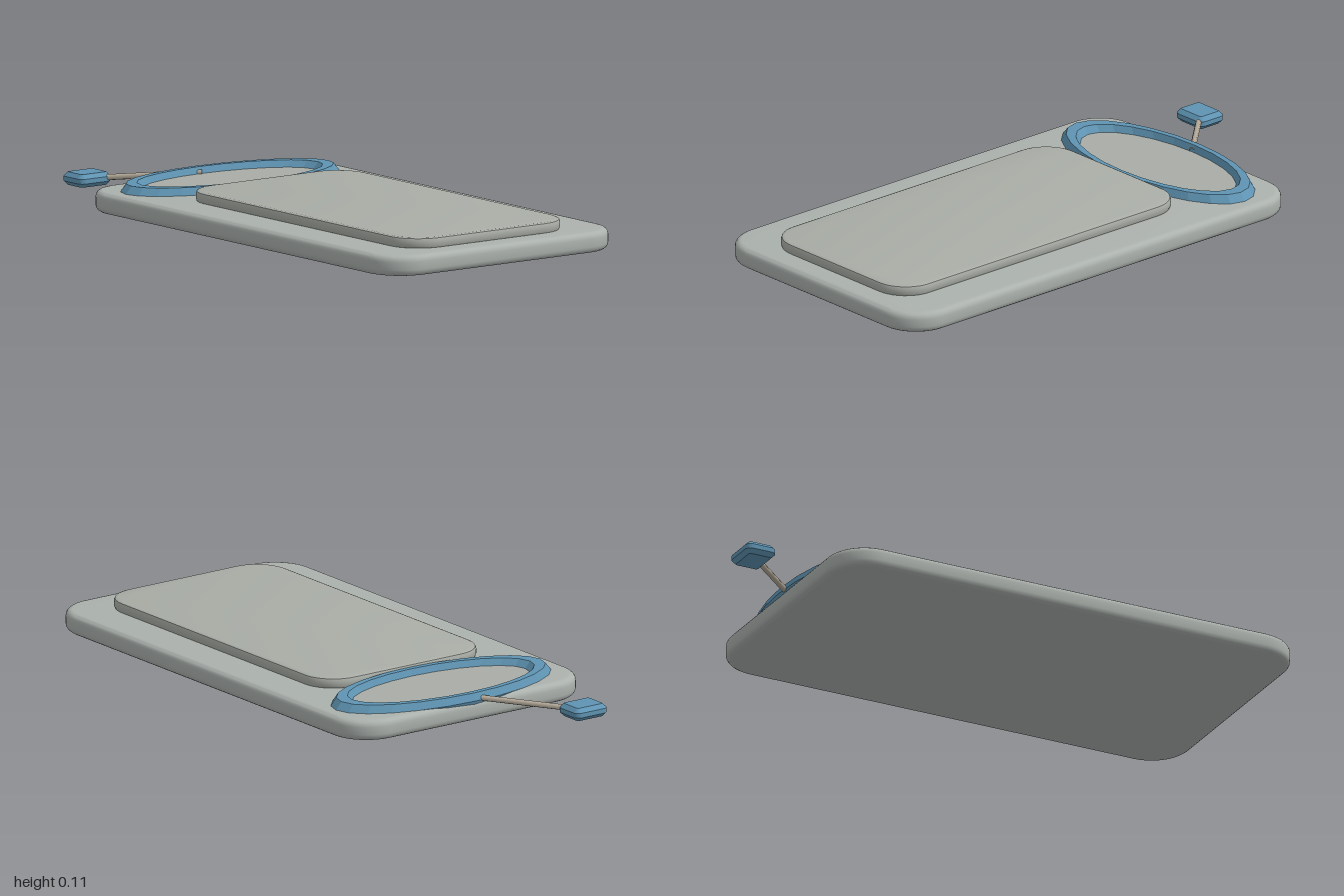
import * as THREE from 'three';
import { toCreasedNormals } from 'three/addons/utils/BufferGeometryUtils.js';

const mat = (name, color, extra = {}) => new THREE.MeshStandardMaterial({ name, color, ...extra });

// Rounded rectangle outline centred on the origin
function roundedRect(w, d, r) {
  const s = new THREE.Shape();
  const x = w / 2 - r, y = d / 2 - r;
  s.absarc(x, y, r, 0, Math.PI / 2);
  s.absarc(-x, y, r, Math.PI / 2, Math.PI);
  s.absarc(-x, -y, r, Math.PI, Math.PI * 1.5);
  s.absarc(x, -y, r, Math.PI * 1.5, Math.PI * 2);
  return s;
}

// Horizontal slab with bevelled rims, its underside at y = 0
function slab(w, d, h, radius, bevel, bevelSegments, crease) {
  const geo = new THREE.ExtrudeGeometry(roundedRect(w - 2 * bevel, d - 2 * bevel, radius - bevel), {
    depth: h - 2 * bevel, bevelEnabled: true, bevelSize: bevel,
    bevelThickness: bevel, bevelSegments, curveSegments: 5,
  });
  geo.translate(0, 0, bevel).rotateX(-Math.PI / 2);
  return toCreasedNormals(geo, crease);
}

export function createModel() {
  const group = new THREE.Group();
  const shell = mat('shell grey', 0xabb1ad);
  const panel = mat('panel grey', 0xa9ada6);
  const blue = mat('trim blue', 0x5f94b3, { flatShading: true });
  const beige = mat('cord beige', 0xb3a999);

  const add = (name, geo, material, x, y, z) => {
    const mesh = new THREE.Mesh(geo, material);
    mesh.name = name;
    mesh.position.set(x, y, z);
    group.add(mesh);
    return mesh;
  };

  // Base and raised pad
  add('base', slab(1.71, 0.97, 0.07, 0.14, 0.022, 4, 0.7), shell, 0.145, 0, 0);
  add('raisedPad', slab(1.254, 0.68, 0.038, 0.12, 0.011, 2, 0.6), panel, 0.287, 0.067, 0);

  // Oval hoop with a hexagonal section, and the panel inside it
  const hoop = new THREE.TorusGeometry(0.9, 0.1, 6, 24).rotateX(Math.PI / 2);
  hoop.scale(0.192, 0.295, 0.432);
  add('ovalRing', hoop, blue, -0.52, 0.07, 0);
  const dish = new THREE.CylinderGeometry(1, 1, 0.006, 24).scale(0.165, 1, 0.37);
  add('ovalPanel', dish, panel, -0.52, 0.07, 0);

  // Cord running out to the tag
  const cord = new THREE.LineCurve3(
    new THREE.Vector3(-0.67, 0.077, 0), new THREE.Vector3(-0.91, 0.052, 0.235));
  add('cord', new THREE.TubeGeometry(cord, 1, 0.01, 8), beige, 0, 0, 0);

  // Chamfered tag
  add('tag', slab(0.11, 0.132, 0.044, 0.022, 0.014, 1, 0.2), blue, -0.945, 0.027, 0.27);

  return group;
}
